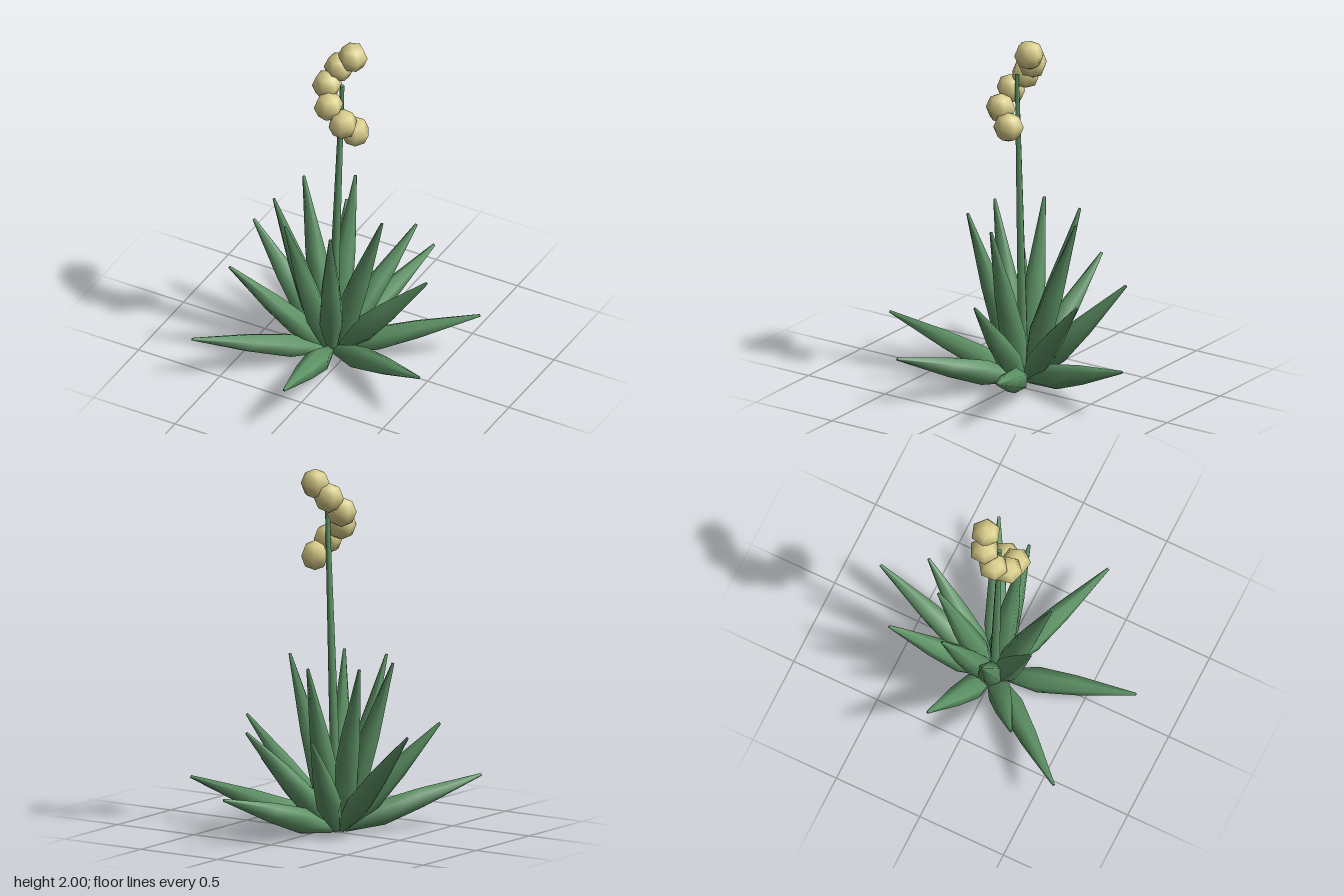
import * as THREE from 'three';

const CENTRE_X = -0.09;
const leafGreen = new THREE.MeshStandardMaterial({ color: 0x5f9567 });
leafGreen.name = 'leaf green';
const blossomCream = new THREE.MeshStandardMaterial({ color: 0xd9cd8a });
blossomCream.name = 'blossom cream';

// Unit-length spindle: narrow foot, fat lower third, pointed tip
const profile = [[0, 0], [0.028, 0], [0.07, 0.27], [0.054, 0.56], [0.008, 1], [0, 1]];
const leafGeometry = new THREE.LatheGeometry(profile.map(([r, y]) => new THREE.Vector2(r, y)), 6);

// A straight leaf from the rosette's heart to its tip, one ridge facing up
function makeLeaf(tip, footRadius) {
  const out = new THREE.Vector3(tip.x - CENTRE_X, 0, tip.z).normalize();
  const foot = new THREE.Vector3(CENTRE_X, 0.03, 0).addScaledVector(out, footRadius);
  const along = tip.clone().sub(foot);
  const length = along.length();
  along.normalize();
  const side = new THREE.Vector3().crossVectors(along, new THREE.Vector3(0, 1, 0)).normalize();
  const ridge = new THREE.Vector3().crossVectors(side, along);
  const leaf = new THREE.Mesh(leafGeometry, leafGreen);
  leaf.quaternion.setFromRotationMatrix(new THREE.Matrix4().makeBasis(side, along, ridge));
  leaf.position.copy(foot);
  leaf.scale.set(1, length, 1);
  return leaf;
}

export function createModel() {
  const model = new THREE.Group();
  model.name = 'floweringRosette';

  // Three rings of leaves, each with a common tip height; tips given as [x, z]
  const rings = [
    { name: 'outerLeaf', y: 0.28, foot: 0.04,
      tips: [[0.11, -0.78], [0.64, -0.33], [0.63, 0.33], [0.05, 0.78], [-0.61, 0.61]] },
    { name: 'middleLeaf', y: 0.6, foot: 0.03,
      tips: [[0.46, -0.06], [0.15, -0.51], [-0.29, -0.53], [-0.64, -0.13], [-0.54, 0.32]] },
    { name: 'innerLeaf', y: 0.95, foot: 0.02,
      tips: [[0.22, 0], [0.05, 0.27], [-0.22, 0.28], [-0.4, 0.08], [-0.36, -0.18], [-0.12, -0.32]] },
  ];
  for (const ring of rings) {
    ring.tips.forEach(([x, z], i) => {
      const leaf = makeLeaf(new THREE.Vector3(x, ring.y, z), ring.foot);
      leaf.name = ring.name + (i + 1);
      model.add(leaf);
    });
  }

  // Slightly leaning flower stalk
  const foot = new THREE.Vector3(CENTRE_X, 0.01, 0);
  const top = new THREE.Vector3(-0.025, 1.78, 0);
  const lean = top.clone().sub(foot);
  const stalk = new THREE.Mesh(new THREE.CylinderGeometry(0.012, 0.031, lean.length(), 6), leafGreen);
  stalk.name = 'flowerStalk';
  stalk.position.copy(foot).add(top).multiplyScalar(0.5);
  stalk.quaternion.setFromUnitVectors(new THREE.Vector3(0, 1, 0), lean.normalize());
  model.add(stalk);

  // Blossoms spiralling up the stalk
  const blossomGeometry = new THREE.SphereGeometry(0.082, 6, 4);
  const blossoms = [
    [0.055, 1.505, 0], [0.02, 1.59, 0.075], [-0.07, 1.675, 0.07],
    [-0.115, 1.76, 0.005], [-0.08, 1.845, -0.065], [-0.01, 1.918, -0.09],
  ];
  blossoms.forEach((position, i) => {
    const blossom = new THREE.Mesh(blossomGeometry, blossomCream);
    blossom.name = 'blossom' + (i + 1);
    blossom.position.set(...position);
    blossom.rotation.y = i * 0.9;
    model.add(blossom);
  });

  return model;
}
